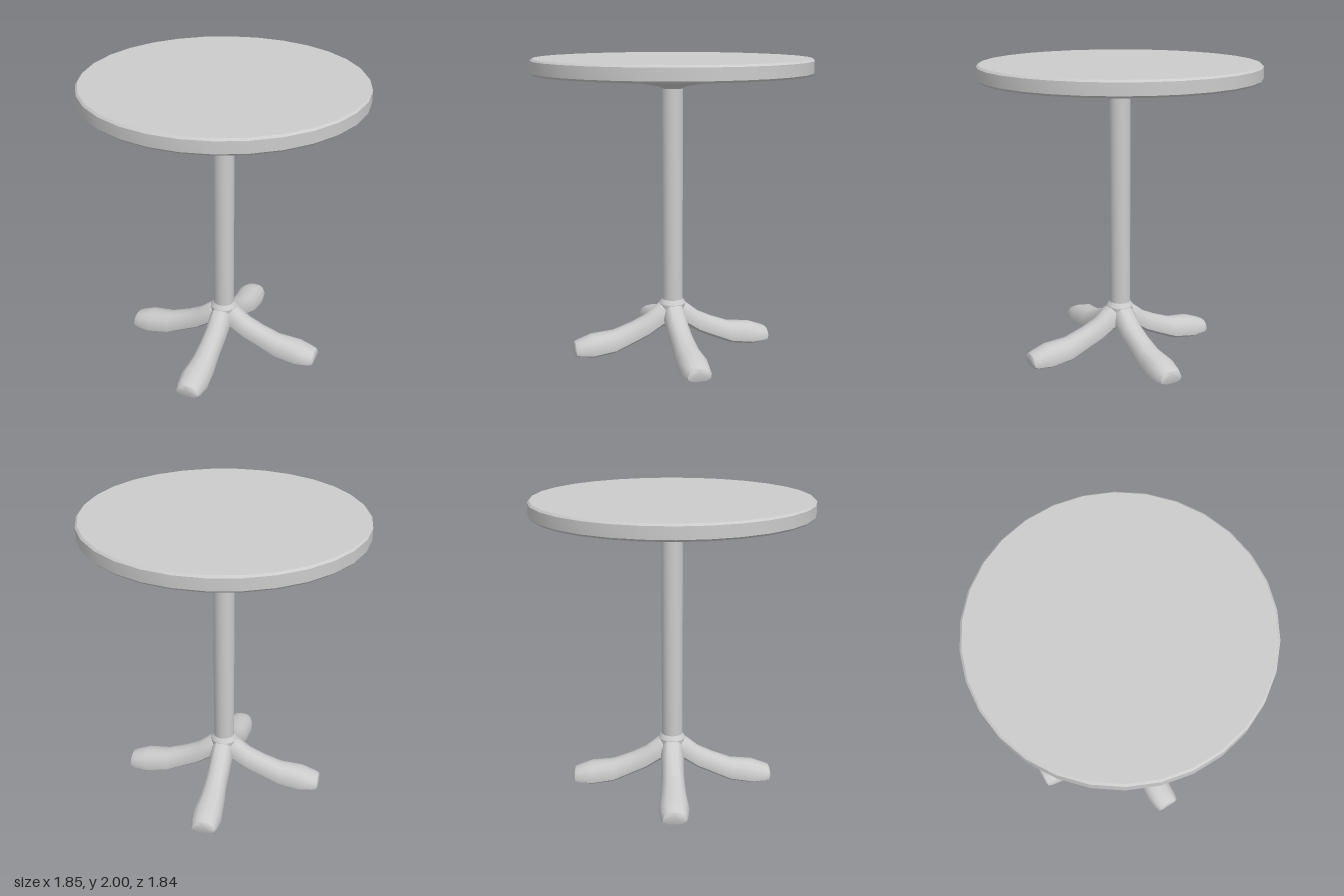
import * as THREE from 'three';
import { toCreasedNormals } from 'three/addons/utils/BufferGeometryUtils.js';

const material = new THREE.MeshStandardMaterial({ color: 0xcccccc });

function part(name, geometry, crease = 0.6) {
  const mesh = new THREE.Mesh(toCreasedNormals(geometry, crease), material);
  mesh.name = name;
  return mesh;
}

// Turned part; profile is [radius, y] from bottom to top
function turned(name, profile, sides) {
  const points = profile.map(([r, y]) => new THREE.Vector2(r, y));
  // start a corner on +x
  return part(name, new THREE.LatheGeometry(points, sides, Math.PI / 2));
}

// Leg cross-section: [half-width factor, height factor], down the +z side
const half = [[0, 1], [0.5, 0.95], [0.82, 0.76], [1, 0.4], [0.97, 0.17], [0.6, 0.02], [0, 0]];
const section = [...half, ...half.slice(1, -1).reverse().map(([w, h]) => [-w, h])];

// Leg stations: [distance from centre, bottom, top, half width]
const stations = [
  [0, 0.19, 0.34, 0.075],
  [0.085, 0.178, 0.338, 0.078],
  [0.18, 0.118, 0.262, 0.076],
  [0.28, 0.075, 0.214, 0.077],
  [0.41, 0.022, 0.165, 0.088],
  [0.56, 0.004, 0.15, 0.1],
  [0.65, 0.014, 0.117, 0.088],
  [0.68, 0.02, 0.104, 0.076],
  [0.688, 0.045, 0.085, 0.058],
];

function legGeometry() {
  const n = section.length, positions = [], index = [];
  for (const [x, bottom, top, width] of stations)
    for (const [w, h] of section) positions.push(x, bottom + (top - bottom) * h, w * width);
  for (let i = 0; i < stations.length - 1; i++)
    for (let j = 0; j < n; j++) {
      const a = i * n + j, b = i * n + (j + 1) % n;
      index.push(a, b, a + n, b, b + n, a + n);
    }
  // toe cap
  const last = (stations.length - 1) * n;
  for (let j = 1; j < n - 1; j++) index.push(last, last + j, last + j + 1);
  const geometry = new THREE.BufferGeometry();
  geometry.setAttribute('position', new THREE.Float32BufferAttribute(positions, 3));
  geometry.setIndex(index);
  return geometry;
}

export function createModel() {
  const table = new THREE.Group();
  table.name = 'pedestalTable';

  // Round top with small bevels
  table.add(turned('tableTop', [
    [0, 1.897], [0.912, 1.897], [0.925, 1.91], [0.925, 1.987], [0.912, 2], [0, 2],
  ], 30));

  // Mounting plate under the top
  table.add(turned('mountingPlate', [
    [0.07, 1.8], [0.09, 1.816], [0.255, 1.842], [0.295, 1.865], [0.295, 1.9],
  ], 24));

  // Column, flared where it meets the legs
  table.add(turned('column', [
    [0, 0.19], [0.08, 0.2], [0.092, 0.335], [0.071, 0.365], [0.071, 1.82],
  ], 16));

  // Four splayed legs
  for (let i = 0; i < 4; i++) {
    const leg = part('leg', legGeometry(), 0.7);
    leg.rotation.y = i * Math.PI / 2;
    table.add(leg);
  }
  return table;
}
